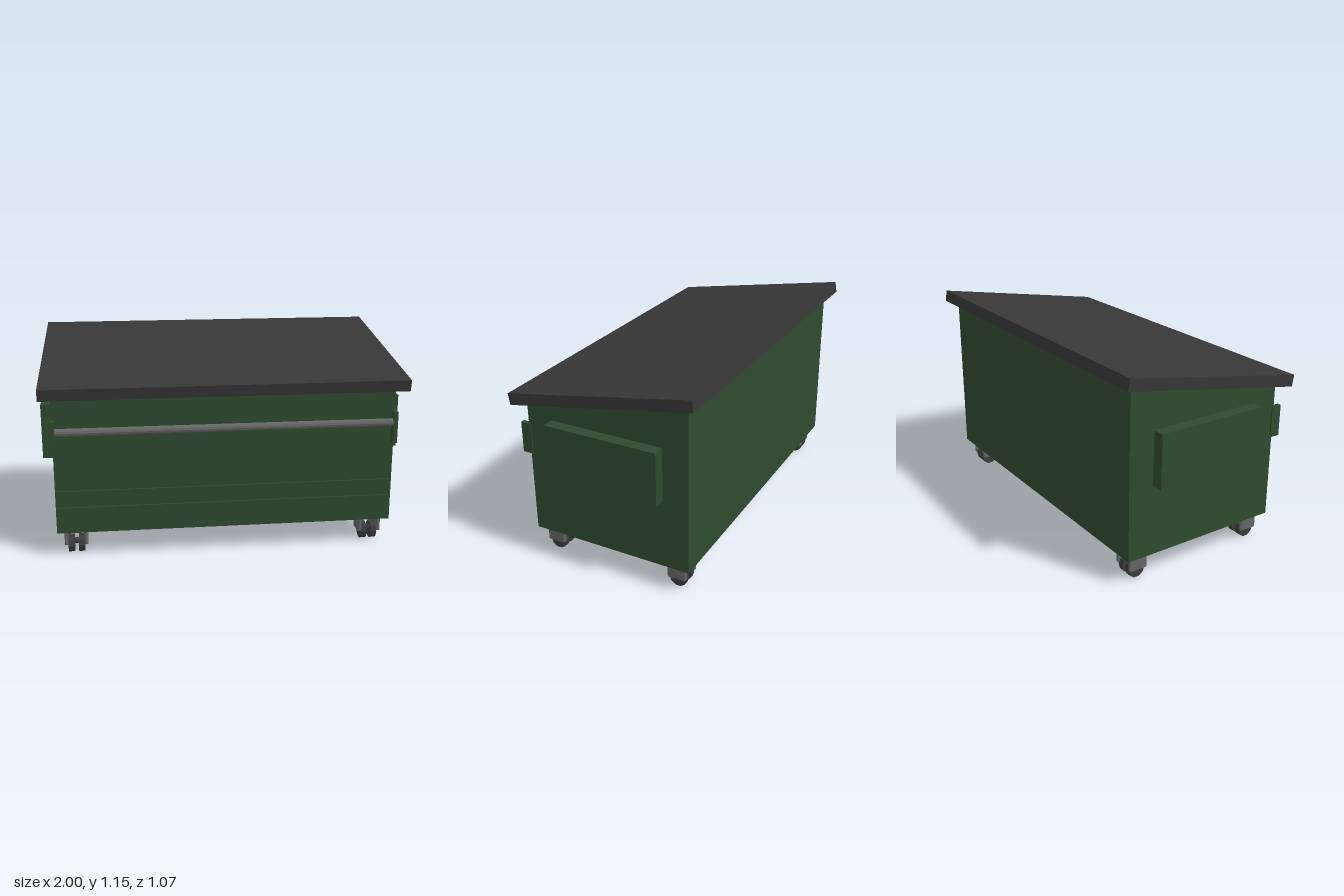
import * as THREE from 'three';

const mat = (color) => new THREE.MeshStandardMaterial({ color, flatShading: true });
const green = mat(0x2f4a2f), black = mat(0x373737), steel = mat(0x666666), rubber = mat(0x3c3c3c);

function add(parent, name, geometry, material, x = 0, y = 0, z = 0) {
  const mesh = new THREE.Mesh(geometry, material);
  mesh.name = name;
  mesh.position.set(x, y, z);
  parent.add(mesh);
  return mesh;
}

const shapeOf = (points) => new THREE.Shape(points.map(([a, b]) => new THREE.Vector2(a, b)));

// Extrudes a [z, y] side profile along x, from x0 to x1
function sideExtrude(points, x0, x1) {
  const g = new THREE.ExtrudeGeometry(shapeOf(points.map(([z, y]) => [-z, y])), { depth: x1 - x0, bevelEnabled: false });
  return g.rotateY(Math.PI / 2).translate(x0, 0, 0);
}

const cylinderX = (radius, length, sides) =>
  new THREE.CylinderGeometry(radius, radius, length, sides).rotateZ(Math.PI / 2);

// Swivel caster: U-shaped fork, twin wheels and an axle
function makeCaster() {
  const caster = new THREE.Group();
  caster.name = 'caster';
  const fork = shapeOf([
    [-0.059, 0.061], [-0.049, 0.061], [-0.049, 0.13], [0.049, 0.13], [0.049, 0.061],
    [0.059, 0.061], [0.059, 0.134], [0.053, 0.14], [-0.053, 0.14], [-0.059, 0.134],
  ]);
  const forkGeometry = new THREE.ExtrudeGeometry(fork, {
    depth: 0.096, bevelThickness: 0.006, bevelSize: 0.005, bevelSegments: 1,
  }).translate(0, 0, -0.048);
  add(caster, 'casterFork', forkGeometry, steel);
  for (const s of [-1, 1]) {
    add(caster, 'wheel', cylinderX(0.05, 0.033, 10), rubber, s * 0.0285, 0.05, 0);
  }
  add(caster, 'axle', cylinderX(0.018, 0.11, 8), rubber, 0, 0.062, 0);
  return caster;
}

export function createModel() {
  const model = new THREE.Group();
  model.name = 'wheeledBin';

  // Body: sloped-top profile with two shallow grooves across the front
  const back = [[0.465, 0.912], [-0.475, 1.085], [-0.475, 0.145], [0.465, 0.145]];
  const grooves = [[0.29, 0.34], [0.385, 0.435]].flatMap(([lo, hi]) => [
    [0.465, lo], [0.455, lo], [0.455, hi], [0.465, hi],
  ]);
  const body = new THREE.Group();
  body.name = 'body';
  model.add(body);
  add(body, 'groovedShell', sideExtrude([...back, ...grooves], -0.927, 0.927), green);
  for (const s of [-1, 1]) {
    const [a, b] = s > 0 ? [0.927, 0.935] : [-0.935, -0.927];
    add(body, 'endPanel', sideExtrude(back, a, b), green);
    // Lifting pocket on each side
    add(model, 'sidePocket', new THREE.BoxGeometry(0.07, 0.3, 0.65), green, s * 0.965, 0.685, -0.005);
    // Bracket that holds the front bar
    add(model, 'barBracket', new THREE.BoxGeometry(0.023, 0.175, 0.06), green, s * 0.93, 0.698, 0.481);
  }

  // Front bar
  add(model, 'frontBar', cylinderX(0.022, 1.84, 12), steel, 0, 0.723, 0.486);

  // Overhanging sloped lid
  add(model, 'lid', sideExtrude([[0.535, 0.967], [-0.523, 1.156], [-0.534, 1.093], [0.524, 0.904]], -0.997, 0.997), black);

  // Four casters
  for (const x of [-0.835, 0.835]) {
    for (const z of [0.373, -0.383]) {
      const caster = makeCaster();
      caster.position.set(x, 0, z);
      model.add(caster);
    }
  }
  return model;
}
